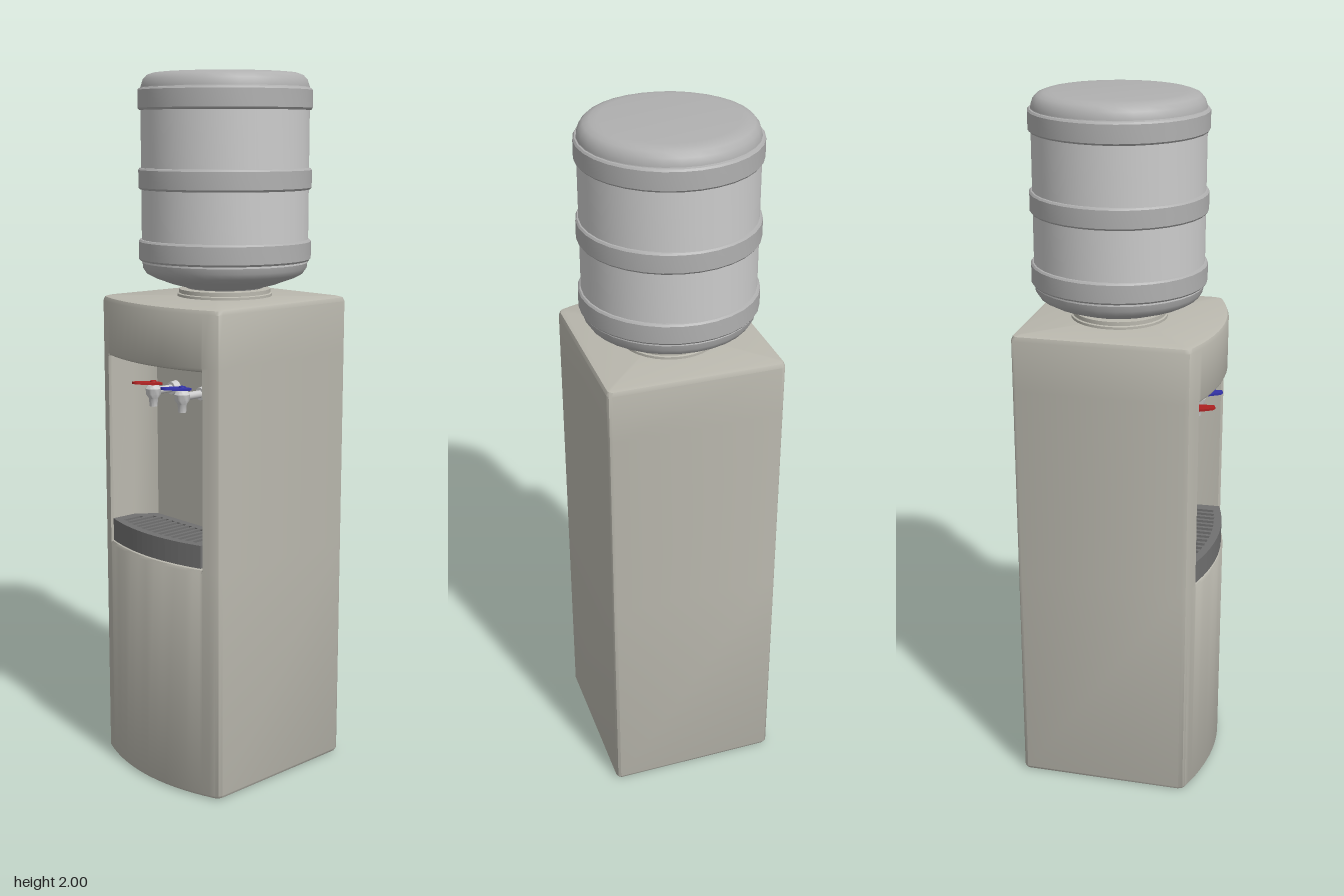
import * as THREE from 'three';
import { toCreasedNormals } from 'three/addons/utils/BufferGeometryUtils.js';

const mat = (color) => new THREE.MeshStandardMaterial({ color });
const shell = mat(0xbab8ae), plastic = mat(0xcccccc), band = mat(0xb0b0b0), dark = mat(0x707070);
const red = mat(0xb02222), blue = mat(0x3333aa);

function add(parent, name, geometry, material, x = 0, y = 0, z = 0) {
  const mesh = new THREE.Mesh(geometry, material);
  mesh.name = name;
  mesh.position.set(x, y, z);
  parent.add(mesh);
  return mesh;
}

const lathe = (pts, sides = 32) => toCreasedNormals(
  new THREE.LatheGeometry(pts.map(([r, y]) => new THREE.Vector2(r, y)), sides).toNonIndexed(), 0.6);

// bowed front of the cabinet
const bow = (x) => 0.271 - 0.87 * x * x;

// left half of the front: x, and z inside the alcove (null = outside it)
const frontHalf = [[-0.235, null], [-0.218, null], [-0.2, null], [-0.195, bow(0.195) - 0.008],
  [-0.19, 0.156], [-0.17, 0.118], [-0.147, 0.1], [-0.11, 0.1], [-0.07, 0.1], [-0.035, 0.1]];
const front = [...frontHalf, [0, 0.1], ...frontHalf.map(([x, z]) => [-x, z]).reverse()];

// horizontal section of the cabinet, inset by e; dip lowers the alcove zone, 'open' cuts the alcove
function section(y, e, dip = 0) {
  const pts = [[-0.235, -0.272], [-0.243, -0.268], [-0.247, -0.26], [-0.247, 0.205], [-0.243, 0.217]];
  for (const [x, z] of front) {
    pts.push([x, z === null ? bow(x) : dip === 'open' ? z : bow(x) - dip]);
  }
  pts.push([0.243, 0.217], [0.247, 0.205], [0.247, -0.26], [0.243, -0.268], [0.235, -0.272]);
  return pts.map(([x, z]) => new THREE.Vector3(x * (1 - e / 0.247), y, z * (1 - e / 0.27)));
}

function cabinetGeometry() {
  const rings = [section(0, 0.012), section(0.004, 0.004), section(0.012, 0),
    section(0.66, 0), section(0.668, 0, 0.004), section(0.672, 0, 0.012),
    section(0.672, 0, 'open'), section(1.215, 0, 'open'),
    section(1.215, 0, 0.012), section(1.219, 0, 0.004), section(1.227, 0),
    section(1.37, 0), section(1.381, 0.004), section(1.385, 0.015)];
  const pos = [];
  const tri = (a, b, c) => {
    if (a.distanceTo(b) > 1e-6 && b.distanceTo(c) > 1e-6 && c.distanceTo(a) > 1e-6) {
      for (const p of [a, b, c]) pos.push(p.x, p.y, p.z);
    }
  };
  const n = rings[0].length, last = rings.length - 1;
  for (let i = 0; i < n; i++) {
    const j = (i + 1) % n;
    for (let k = 0; k < last; k++) {
      const lo = rings[k], hi = rings[k + 1];
      tri(lo[i], lo[j], hi[j]);
      tri(lo[i], hi[j], hi[i]);
    }
    tri(new THREE.Vector3(0, 0, 0), rings[0][j], rings[0][i]);
    tri(new THREE.Vector3(0, 1.385, 0), rings[last][i], rings[last][j]);
  }
  const g = new THREE.BufferGeometry();
  g.setAttribute('position', new THREE.Float32BufferAttribute(pos, 3));
  return toCreasedNormals(g, 0.6);
}

// plan of the drip tray, extruded upward; the grille has slots
function trayGeometry(height, slotted) {
  const s = new THREE.Shape();
  s.moveTo(-0.145, -0.102);
  s.lineTo(0.145, -0.102);
  s.lineTo(0.188, -0.156);
  for (let i = 0; i <= 16; i++) {
    const x = 0.19 - 0.38 * i / 16;
    s.lineTo(x, -bow(x) + 0.005);
  }
  s.lineTo(-0.188, -0.156);
  if (slotted) {
    for (let i = -6; i <= 6; i++) {
      const x = i * 0.025, w = 0.007, back = -0.125 - Math.max(0, Math.abs(x) - 0.12) * 1.2;
      const h = new THREE.Path();
      h.moveTo(x - w, back);
      h.lineTo(x - w, -bow(x) + 0.028);
      h.lineTo(x + w, -bow(x) + 0.028);
      h.lineTo(x + w, back);
      s.holes.push(h);
    }
  }
  return new THREE.ExtrudeGeometry(s, { depth: height, bevelEnabled: false }).rotateX(-Math.PI / 2);
}

function createTap(x, color, name) {
  const tap = new THREE.Group();
  tap.name = name;
  tap.position.set(x, 1.125, 0);
  add(tap, 'flange', new THREE.CylinderGeometry(0.018, 0.021, 0.02, 20).rotateX(Math.PI / 2), plastic, 0, 0, 0.11);
  add(tap, 'stem', new THREE.CylinderGeometry(0.011, 0.011, 0.08, 16).rotateX(Math.PI / 2), plastic, 0, 0, 0.145);
  add(tap, 'spout', lathe([[0, -0.043], [0.011, -0.043], [0.013, -0.02], [0.021, -0.008],
    [0.022, 0.008], [0.015, 0.018], [0, 0.02]], 20), plastic, 0, 0, 0.185);
  add(tap, 'leverPost', new THREE.CylinderGeometry(0.009, 0.013, 0.02, 16), color, 0, 0.02, 0.185);
  // paddle lever tapering toward the user
  const s = new THREE.Shape();
  s.moveTo(-0.016, 0.02);
  s.quadraticCurveTo(0, 0.032, 0.016, 0.02);
  s.quadraticCurveTo(0.03, -0.01, 0.012, -0.068);
  s.quadraticCurveTo(0, -0.078, -0.012, -0.068);
  s.quadraticCurveTo(-0.03, -0.01, -0.016, 0.02);
  const paddle = new THREE.ExtrudeGeometry(s, { depth: 0.006, bevelEnabled: false, curveSegments: 8 });
  add(tap, 'lever', paddle.rotateX(-Math.PI / 2), color, 0, 0.02, 0.185).rotation.x = -0.12;
  return tap;
}

export function createModel() {
  const model = new THREE.Group();
  model.name = 'waterCooler';
  add(model, 'cabinet', cabinetGeometry(), shell);

  // drip tray at the foot of the alcove
  add(model, 'dripTray', trayGeometry(0.045, false), dark, 0, 0.672, 0);
  add(model, 'dripGrille', trayGeometry(0.02, true), dark, 0, 0.717, 0);

  model.add(createTap(-0.063, red, 'hotTap'), createTap(0.06, blue, 'coldTap'));

  // bottle standing upside down on its collar
  const bottle = new THREE.Group();
  bottle.name = 'bottle';
  bottle.position.z = -0.03;
  model.add(bottle);
  add(bottle, 'collar', lathe([[0.135, 1.38], [0.135, 1.392], [0.13, 1.394], [0.13, 1.405], [0.1, 1.408]]), shell);
  add(bottle, 'bottleShoulder', lathe([[0.1, 1.395], [0.11, 1.41], [0.15, 1.42], [0.2, 1.438],
    [0.222, 1.45], [0.232, 1.465], [0.235, 1.49]]), band);
  add(bottle, 'bottleWall', lathe([[0.235, 1.48], [0.235, 1.96]]), plastic);
  add(bottle, 'bottleBase', lathe([[0.235, 1.94], [0.234, 1.962], [0.228, 1.98], [0.217, 1.992],
    [0.2, 1.998], [0.18, 2], [0, 2]]), band);
  for (const y of [1.515, 1.712, 1.928]) {
    add(bottle, 'rib', lathe([[0.23, -0.031], [0.239, -0.029], [0.243, -0.024],
      [0.243, 0.024], [0.239, 0.029], [0.23, 0.031]]), band, 0, y, 0);
  }
  return model;
}
